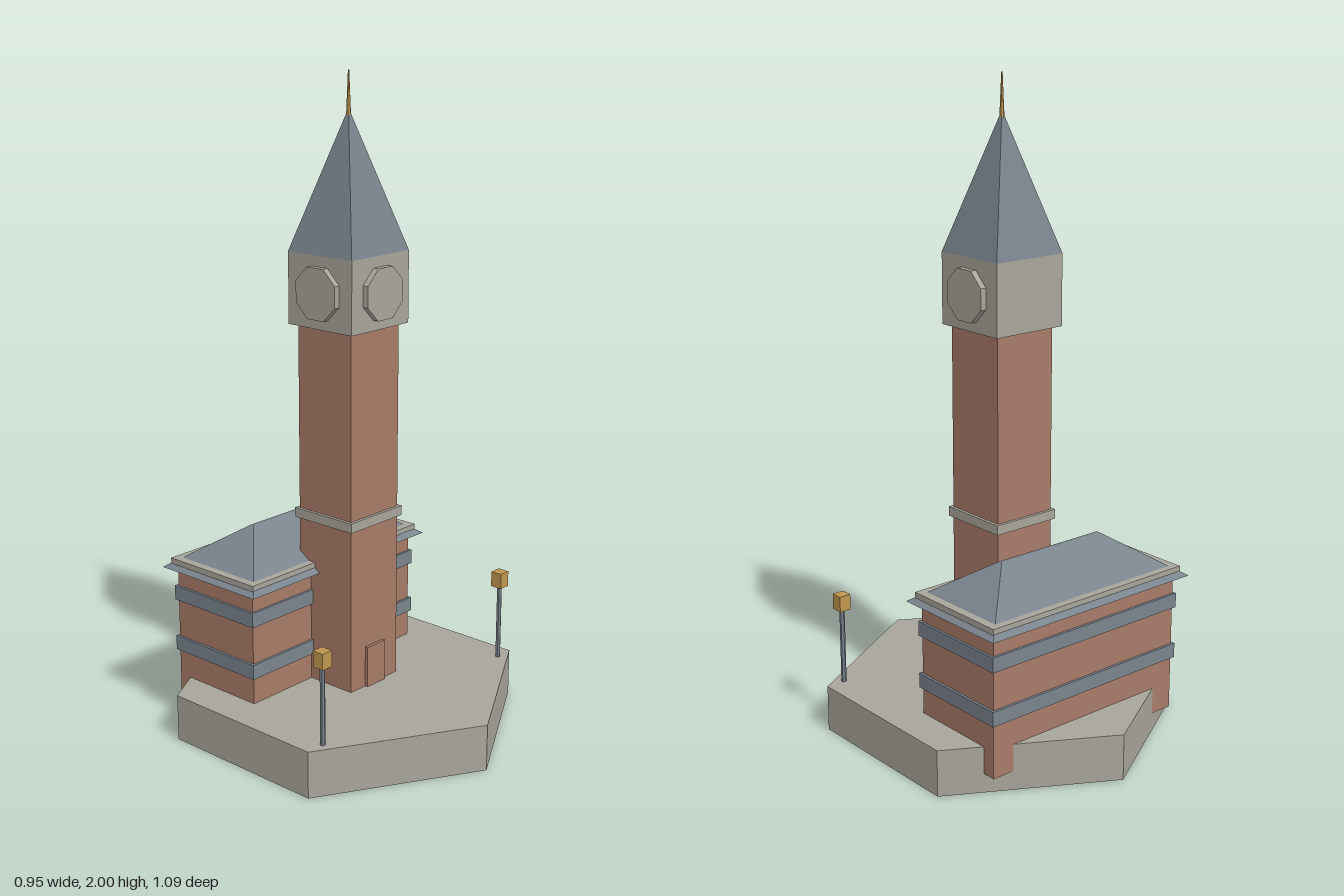
import * as THREE from 'three';

const flat = (name, color) => {
  const m = new THREE.MeshStandardMaterial({ color });
  m.name = name;
  return m;
};

export function createModel() {
  const group = new THREE.Group();
  group.name = 'clockTower';
  const stone = flat('stone', 0xa8a59b);
  const brick = flat('brick', 0xa87b68);
  const slate = flat('slate', 0x7a848d);
  const gold = flat('gold', 0xc0964f);

  const add = (name, geometry, material, x = 0, y = 0, z = 0) => {
    const mesh = new THREE.Mesh(geometry, material);
    mesh.name = name;
    mesh.position.set(x, y, z);
    group.add(mesh);
    return mesh;
  };
  // box given by half width, half depth, bottom and top heights
  const block = (name, material, hx, hz, y0, y1, x = 0, z = 0) =>
    add(name, new THREE.BoxGeometry(hx * 2, y1 - y0, hz * 2), material, x, (y0 + y1) / 2, z);
  // box whose top is drawn in to smaller half sizes
  const tapered = (name, material, hx, hz, tx, tz, y0, y1, z = 0) => {
    const mesh = block(name, material, hx, hz, y0, y1, 0, z);
    const p = mesh.geometry.attributes.position;
    for (let i = 0; i < p.count; i++) {
      if (p.getY(i) > 0) {
        p.setX(i, Math.sign(p.getX(i)) * tx);
        p.setZ(i, Math.sign(p.getZ(i)) * tz);
      }
    }
    mesh.geometry.computeVertexNormals();
    return mesh;
  };
  // cylinder with flat sides
  const prism = (r0, r1, h, sides, turn = 0) => {
    const g = new THREE.CylinderGeometry(r1, r0, h, sides, 1, false, turn).toNonIndexed();
    g.computeVertexNormals();
    return g;
  };

  // hexagonal plinth
  add('plinth', prism(0.547, 0.547, 0.145, 6), stone, 0, 0.0725, 0);

  // hall, running down past the plinth at its back corners
  const hallZ = -0.222;
  block('hall', brick, 0.357, 0.162, 0.06, 0.502, 0, hallZ);
  for (const y of [0.228, 0.394]) block('hallBand', slate, 0.365, 0.17, y, y + 0.046, 0, hallZ);
  tapered('hallRoof', slate, 0.388, 0.198, 0.194, 0.006, 0.5, 0.632, hallZ);
  block('cornice', stone, 0.37, 0.178, 0.503, 0.53, 0, hallZ);

  // tower shaft, collar and door
  block('towerShaft', brick, 0.105, 0.105, 0.14, 1.267, 0, 0);
  block('towerCollar', stone, 0.115, 0.115, 0.664, 0.694);
  block('door', brick, 0.04, 0.01, 0.145, 0.275, 0, 0.105);

  // belfry with clock faces on the front and both sides
  block('belfry', stone, 0.125, 0.125, 1.265, 1.482);
  for (const turn of [-1, 0, 1]) {
    const a = turn * Math.PI / 2;
    const clock = add('clockFace', prism(0.083, 0.083, 0.022, 8, Math.PI / 8), stone,
      Math.sin(a) * 0.133, 1.373, Math.cos(a) * 0.133);
    clock.rotation.set(Math.PI / 2, 0, -a);
  }

  // spire and finial
  tapered('spire', slate, 0.125, 0.125, 0.001, 0.001, 1.482, 1.89);
  add('finial', prism(0.008, 0.002, 0.14, 6), gold, 0, 1.93, 0);

  // lamp posts
  for (const side of [-1, 1]) {
    add('lampPost', prism(0.008, 0.008, 0.25, 6), slate, side * 0.412, 0.265, 0.273);
    block('lantern', gold, 0.019, 0.019, 0.386, 0.435, side * 0.412, 0.273);
  }

  return group;
}
